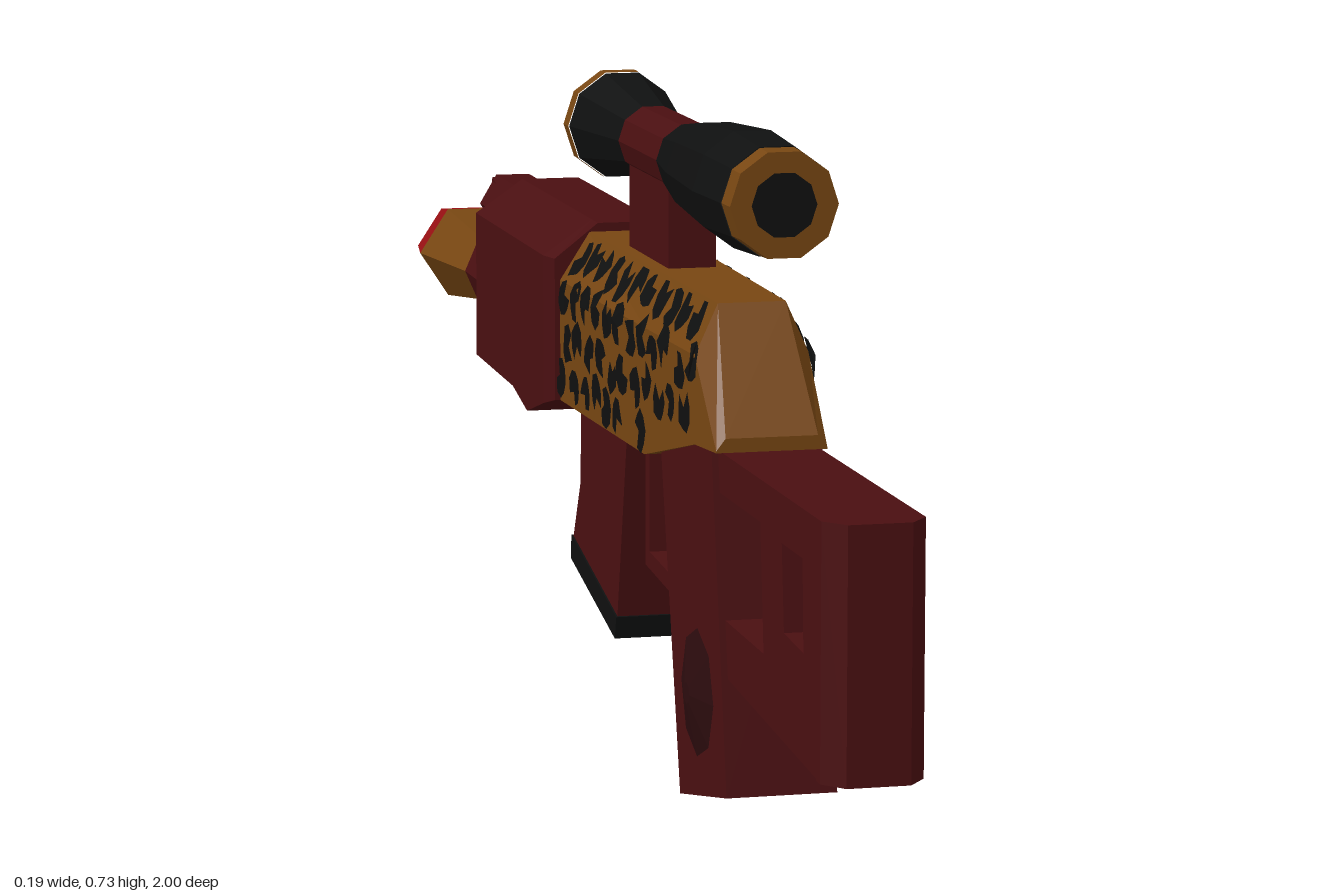
import * as THREE from 'three';

const mat = (name, color, side = THREE.FrontSide) => {
  const m = new THREE.MeshStandardMaterial({ color, side });
  m.name = name;
  return m;
};

export function createModel() {
  const root = new THREE.Group();
  const maroon = mat('maroon', 0x4a0f11);
  const darkMaroon = mat('dark maroon', 0x2c0c0e);
  const gold = mat('gold brown', 0x774612);
  const black = mat('black', 0x0f1010, THREE.DoubleSide);
  const red = mat('red', 0x980f13);

  // Faceted mesh
  const add = (name, geo, material) => {
    const g = geo.index ? geo.toNonIndexed() : geo;
    g.computeVertexNormals();
    const mesh = new THREE.Mesh(g, material);
    mesh.name = name;
    root.add(mesh);
    return mesh;
  };

  // Side profile of [z, y] points extruded across the width
  const slab = (name, pts, halfWidth, material, holes = []) => {
    const vec = (list) => list.map(([z, y]) => new THREE.Vector2(z, y));
    const shape = new THREE.Shape(vec(pts));
    holes.forEach((h) => shape.holes.push(new THREE.Path(vec(h))));
    const g = new THREE.ExtrudeGeometry(shape, { depth: halfWidth * 2, bevelEnabled: false });
    g.translate(0, 0, -halfWidth).rotateY(-Math.PI / 2);
    return add(name, g, material);
  };

  // Turned part along z from [radius, z] points, z rising along the outside
  const turned = (name, pts, sides, y, material, squash = 1) => {
    const g = new THREE.LatheGeometry(pts.map(([r, z]) => new THREE.Vector2(r, z)), sides);
    g.rotateY(Math.PI / 2).rotateX(Math.PI / 2).scale(1, squash, 1).translate(0, y, 0);
    return add(name, g, material);
  };

  // Chamfered housing lofted through sections, z rising
  const loft = (name, sections, material) => {
    const pos = [], idx = [];
    sections.forEach(({ z, yb, ym, yt, w, tw }) =>
      pos.push(w, yb, z, w, ym, z, tw, yt, z, -tw, yt, z, -w, ym, z, -w, yb, z));
    for (let s = 0; s < sections.length - 1; s++) {
      for (let i = 0; i < 6; i++) {
        const a = s * 6 + i, b = s * 6 + (i + 1) % 6;
        idx.push(a, b, b + 6, a, b + 6, a + 6);
      }
    }
    const e = (sections.length - 1) * 6;
    for (let i = 1; i < 5; i++) idx.push(0, i + 1, i, e, e + i, e + i + 1);
    const g = new THREE.BufferGeometry();
    g.setAttribute('position', new THREE.Float32BufferAttribute(pos, 3));
    g.setIndex(idx);
    return add(name, g, material);
  };

  // Spotted receiver
  loft('receiver', [
    { z: -0.08, yb: 0.35, ym: 0.49, yt: 0.545, w: 0.08, tw: 0.045 },
    { z: 0.30, yb: 0.35, ym: 0.49, yt: 0.545, w: 0.0685, tw: 0.04 },
    { z: 0.50, yb: 0.395, ym: 0.49, yt: 0.545, w: 0.062, tw: 0.037 },
    { z: 0.585, yb: 0.40, ym: 0.402, yt: 0.415, w: 0.06, tw: 0.05 },
  ], gold);

  // Notched spots laid on both flanks
  let seed = 7;
  const rand = () => (seed = (seed * 16807) % 2147483647) / 2147483647;
  const flank = (z, y) => {
    const t = (z + 0.08) / 0.58, w = 0.08 - 0.018 * t, tw = 0.045 - 0.008 * t;
    return y < 0.49 ? w : w + (tw - w) * (y - 0.49) / 0.055;
  };
  for (const side of [-1, 1]) {
    for (let c = 0; c < 12; c++) {
      for (let r = 0; r < 4; r++) {
        const cz = -0.045 + c * 0.049 + (r % 2) * 0.02 + (rand() - 0.5) * 0.016;
        const cy = 0.375 + r * 0.049 + (c % 2) * 0.006 + (rand() - 0.5) * 0.012;
        if (cz > 0.5 || cy < 0.375 + Math.max(0, cz - 0.3) * 0.24) continue;
        const notch = Math.floor(rand() * 9), turn = rand() * 6;
        const blob = [];
        for (let k = 0; k < 9; k++) {
          const a = turn + k * Math.PI * 2 / 9;
          const rad = k === notch ? 0.004 : 0.017 + rand() * 0.01;
          blob.push(new THREE.Vector2(cz + Math.cos(a) * rad, Math.min(0.543, cy + Math.sin(a) * rad)));
        }
        const g = new THREE.ShapeGeometry(new THREE.Shape(blob));
        const p = g.attributes.position;
        for (let i = 0; i < p.count; i++) {
          const z = p.getX(i), y = p.getY(i);
          p.setXYZ(i, side * (flank(z, y) + 0.004), y, z);
        }
        add('spot', g, black);
      }
    }
  }

  // Handguard and front collar
  const guard = { ym: 0.515, yt: 0.555, w: 0.093, tw: 0.035 };
  loft('handguard', [
    { ...guard, z: -0.48, yb: 0.34 },
    { ...guard, z: -0.27, yb: 0.335 },
    { ...guard, z: -0.19, yb: 0.318 },
    { ...guard, z: -0.10, yb: 0.342 },
    { ...guard, z: -0.07, yb: 0.35, w: 0.086 },
  ], maroon);
  loft('handguardCollar', [
    { z: -0.52, yb: 0.345, ym: 0.51, yt: 0.543, w: 0.08, tw: 0.035 },
    { z: -0.47, yb: 0.345, ym: 0.51, yt: 0.543, w: 0.08, tw: 0.035 },
  ], maroon);

  // Barrel, gas tube and flared muzzle
  const by = 0.403;
  turned('barrel', [[0.05, -0.66], [0.05, -0.5]], 8, by, gold, 0.92);
  turned('gasBlock', [[0, -0.757], [0.05, -0.757], [0.052, -0.64], [0, -0.64]], 8, by, maroon, 0.95);
  turned('gasTube', [[0, -0.70], [0.042, -0.70], [0.042, -0.5]], 6, 0.497, maroon, 0.98);
  slab('gasConnector', [[-0.63, 0.43], [-0.755, 0.43], [-0.735, 0.465], [-0.715, 0.485],
    [-0.70, 0.53], [-0.66, 0.52]], 0.026, maroon);
  turned('muzzleCone', [[0.074, -0.93], [0.05, -0.757]], 6, by, gold, 0.88);
  turned('muzzleTip', [[0.03, -0.955], [0.042, -1], [0.063, -1], [0.074, -0.93]], 6, by, red, 0.88);
  turned('bore', [[0, -0.957], [0.034, -0.957]], 6, by, black, 0.88);

  // Telescopic sight
  const sy = 0.665;
  turned('scopeFrontRing', [[0.036, -0.13], [0.058, -0.13], [0.064, -0.12], [0.064, -0.095]], 10, sy, gold);
  turned('scopeFrontLens', [[0, -0.128], [0.037, -0.128]], 10, sy, black);
  turned('scopeFrontBell', [[0.063, -0.095], [0.056, -0.05], [0.04, 0.055]], 10, sy, black);
  turned('scopeTube', [[0.04, 0.05], [0.04, 0.245]], 10, sy, maroon);
  turned('scopeRearBody', [[0.041, 0.24], [0.055, 0.34], [0.065, 0.50], [0.06, 0.60]], 10, sy, black);
  turned('scopeRearRing', [[0.059, 0.60], [0.058, 0.632], [0.035, 0.632]], 10, sy, gold);
  turned('scopeRearLens', [[0.037, 0.63], [0, 0.63]], 10, sy, black);
  slab('scopeMount', [[0.055, 0.54], [0.24, 0.54], [0.24, 0.69], [0.055, 0.69]], 0.027, maroon);

  // Skeleton stock with bevelled butt
  slab('stock', [[0.965, 0.139], [0.965, 0.40], [0.50, 0.40], [0.50, 0.172]], 0.053, maroon, [
    [[0.905, 0.35], [0.825, 0.35], [0.835, 0.26], [0.91, 0.255]],
    [[0.74, 0.356], [0.555, 0.356], [0.57, 0.225], [0.755, 0.222]],
  ]);
  const buttPlan = new THREE.Shape([[-0.053, 0.96], [0.053, 0.96], [0.053, 0.975], [0.033, 1],
    [-0.033, 1], [-0.053, 0.975]].map(([x, z]) => new THREE.Vector2(x, -z)));
  const butt = new THREE.ExtrudeGeometry(buttPlan, { depth: 0.263, bevelEnabled: false });
  add('butt', butt.rotateX(-Math.PI / 2).translate(0, 0.137, 0), maroon);

  // Grip with raised side medallions
  slab('grip', [[0.565, 0.40], [0.632, 0.042], [0.43, 0.0], [0.34, 0.37], [0.36, 0.40]], 0.06, maroon);
  for (const side of [-1, 1]) {
    const g = new THREE.CylinderGeometry(0.012, 0.07, 0.012, 8);
    g.rotateZ(-side * Math.PI / 2).translate(side * 0.066, 0.128, 0.505);
    add('gripMedallion', g, darkMaroon);
  }

  // Trigger and its guard
  slab('trigger', [[0.335, 0.36], [0.27, 0.36], [0.24, 0.29], [0.30, 0.285], [0.335, 0.30], [0.31, 0.325]],
    0.018, red);
  slab('triggerGuard', [[0.45, 0.178], [0.165, 0.2], [0.165, 0.36], [0.185, 0.36], [0.185, 0.218],
    [0.45, 0.2]], 0.035, maroon);

  // Magazine with base plate
  slab('magazine', [[0.165, 0.37], [0.112, 0.128], [-0.112, 0.18], [-0.075, 0.25], [-0.068, 0.37]], 0.055, maroon);
  slab('magazineBase', [[0.115, 0.13], [0.108, 0.104], [-0.118, 0.154], [-0.114, 0.182]], 0.057, black);

  return root;
}
